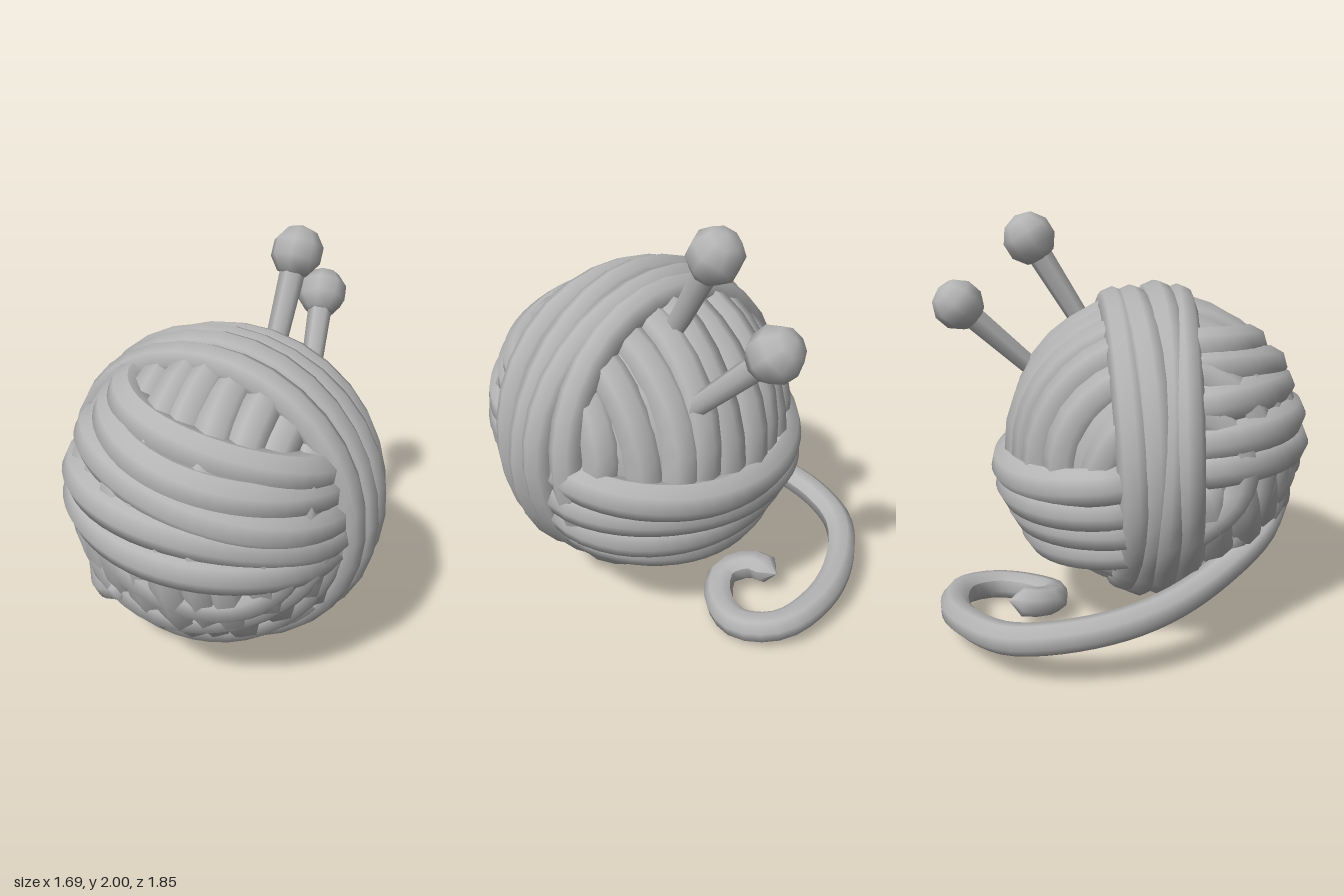
import * as THREE from 'three';

const V = (x, y, z) => new THREE.Vector3(x, y, z);
const CENTRE = V(-0.1, 0.9, 0.16);
const SIDE = V(0.8, 0, -0.6); // axis of the main band
const OTHER = SIDE.clone().negate();
const DOWN = V(0, -1, 0);

// Tube with its open ends drawn to a point
function closedTube(curve, segments, radius, closed = false) {
  const radial = 8;
  const geo = new THREE.TubeGeometry(curve, segments, radius, radial, closed);
  if (!closed) {
    const pos = geo.attributes.position;
    for (const [ring, t] of [[0, 0], [segments, 1]]) {
      const p = curve.getPointAt(t);
      for (let j = 0; j <= radial; j++) pos.setXYZ(ring * (radial + 1) + j, p.x, p.y, p.z);
    }
    geo.computeVertexNormals();
  }
  return geo;
}

// Strand wound on the ball: a circle about the band's axis, centred on its ref
// direction; fan spreads the strands on one side and gathers them on the other
function windGeometry({ axis, ref, half, R: radius, r: thick, fan = 0 }, offset, seed) {
  const n = axis.clone().normalize();
  const u = ref.clone().addScaledVector(n, -ref.dot(n)).normalize();
  const v = n.clone().cross(u);
  const full = half >= Math.PI;
  const count = 18, pts = [];
  for (let i = 0; i < (full ? count : count + 1); i++) {
    const t = (i / count) * 2 - 1;
    const a = t * half;
    const d = offset * (1 + fan * Math.sin(a)) + 0.014 * Math.sin(a * 2 + seed * 1.9);
    const R = radius * (full ? 1 : 1 - 0.09 * t ** 6) + 0.008 * Math.sin(a * 3 + seed * 2.3);
    const c = Math.sqrt(Math.max(R * R - d * d, 0.001));
    pts.push(CENTRE.clone().addScaledVector(n, d)
      .addScaledVector(u, c * Math.cos(a)).addScaledVector(v, c * Math.sin(a)));
  }
  return closedTube(new THREE.CatmullRomCurve3(pts, full), full ? 32 : 26, thick, full);
}

export function createModel() {
  const model = new THREE.Group();
  const grey = new THREE.MeshStandardMaterial({ color: 0xb4b4b4 });
  grey.name = 'grey';

  const add = (geo, name, parent = model) => {
    const m = new THREE.Mesh(geo, grey);
    m.name = name;
    parent.add(m);
    return m;
  };

  // Solid middle of the ball
  add(new THREE.SphereGeometry(0.68, 24, 16), 'core').position.copy(CENTRE);

  // Bands of wound yarn
  const bands = [
    { name: 'innerWinding', axis: V(0.6, 0.05, 0.8), ref: DOWN, half: Math.PI, R: 0.632, r: 0.098,
      offsets: [-0.55, -0.44, -0.32, -0.2, -0.07, 0.05, 0.17, 0.29, 0.41, 0.52] },
    { name: 'lowerSwirl', axis: V(-0.45, 0.22, 0.56), ref: V(0.1, -1, 0), half: 1.7, R: 0.637, r: 0.1,
      offsets: [-0.12, 0.01, 0.14, 0.27, 0.39, 0.49] },
    { name: 'frontBand', axis: V(0.15, 1, 0.02), ref: OTHER, half: 1.42, R: 0.668, r: 0.095, fan: -0.18,
      offsets: [-0.05, 0.07, 0.19, 0.31, 0.41] },
    { name: 'sideBand', axis: V(0.12, 1, -0.08), ref: SIDE, half: 1.37, R: 0.715, r: 0.092,
      offsets: [-0.34, -0.22, -0.1, 0.01] },
    { name: 'mainBand', axis: SIDE, ref: DOWN, half: Math.PI, R: 0.695, r: 0.082, fan: -0.25,
      offsets: [-0.11, -0.01, 0.09, 0.19] },
  ];
  bands.forEach((band, k) => {
    const group = new THREE.Group();
    group.name = band.name;
    band.offsets.forEach((d, i) => add(windGeometry(band, d, i + k * 3), 'strand', group));
    model.add(group);
  });

  // Loose end of yarn, leaving the ball and curling on the ground
  const tail = new THREE.CatmullRomCurve3([
    V(-0.68, 0.68, 0.42), V(-0.7, 0.53, 0.18), V(-0.63, 0.41, -0.1), V(-0.54, 0.34, -0.38),
    V(-0.42, 0.3, -0.59), V(-0.22, 0.26, -0.77), V(0.02, 0.22, -0.86), V(0.28, 0.19, -0.81),
    V(0.52, 0.15, -0.66), V(0.66, 0.11, -0.43), V(0.6, 0.08, -0.24), V(0.42, 0.075, -0.17),
    V(0.24, 0.1, -0.22), V(0.22, 0.13, -0.36), V(0.34, 0.15, -0.47),
  ]);
  add(closedTube(tail, 50, 0.073), 'looseEnd');

  // Two knitting needles with round knobs
  const needles = [
    [V(0.43, 1.878, -0.115), V(0.16, 1.32, 0.09)],
    [V(0.715, 1.563, -0.32), V(0.4, 1.1, 0.06)],
  ];
  for (const [top, foot] of needles) {
    const needle = new THREE.Group();
    needle.name = 'needle';
    const axis = top.clone().sub(foot);
    const length = axis.length();
    needle.position.copy(foot);
    needle.quaternion.setFromUnitVectors(V(0, 1, 0), axis.normalize());
    add(new THREE.CylinderGeometry(0.062, 0.046, length, 6), 'shaft', needle).position.y = length / 2;
    add(new THREE.SphereGeometry(0.126, 8, 5), 'knob', needle).position.y = length;
    model.add(needle);
  }
  return model;
}
